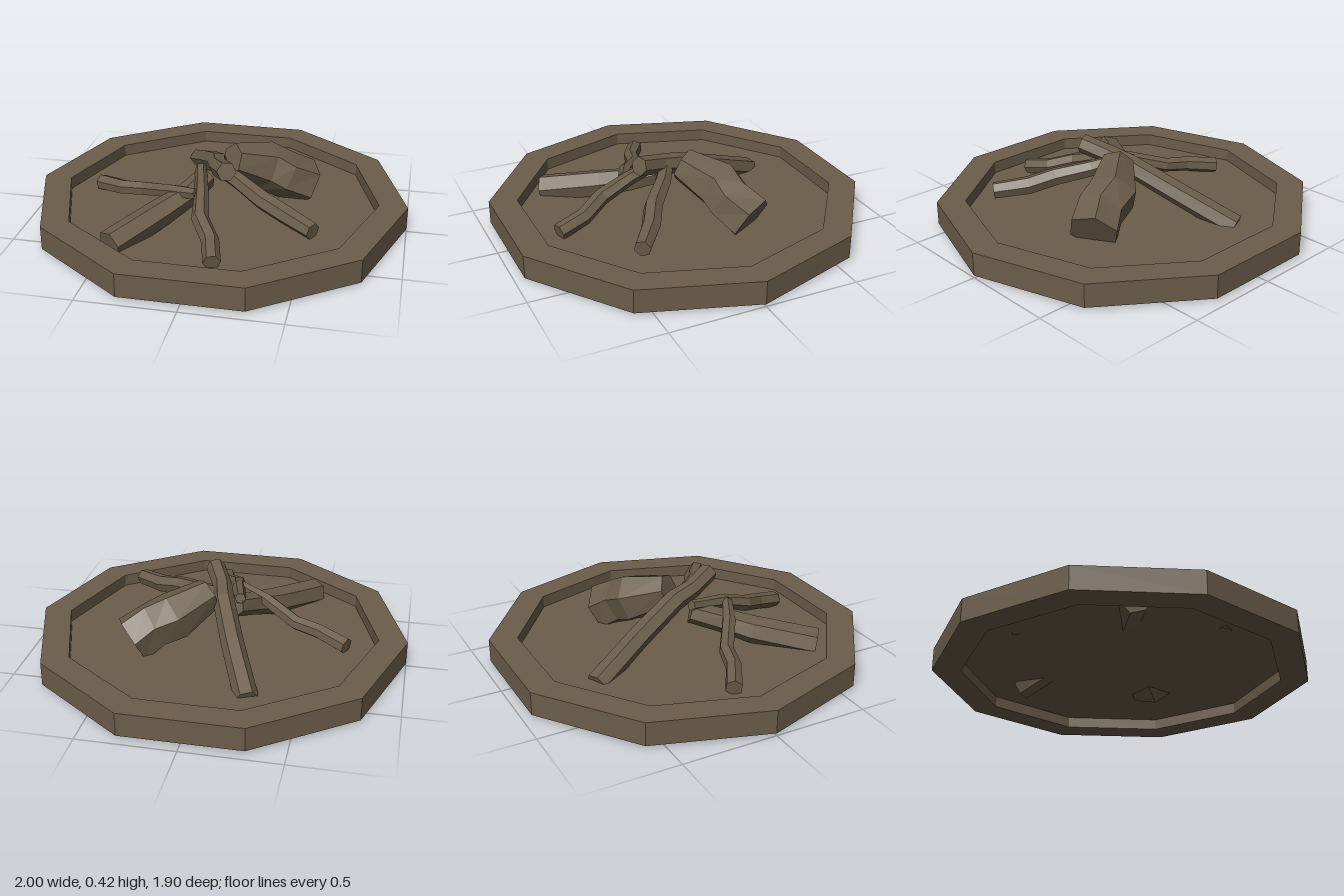
import * as THREE from 'three';

const SIDES = 6;

// Six-sided log swept along [x, y, z, radius] stations, with capped ends
function logGeometry(stations, twist) {
  const pts = stations.map(([x, y, z]) => new THREE.Vector3(x, y, z));
  const last = pts.length - 1;
  const rings = pts.map((p, i) => {
    const t = pts[Math.min(i + 1, last)].clone().sub(pts[Math.max(i - 1, 0)]).normalize();
    const side = new THREE.Vector3().crossVectors(t, new THREE.Vector3(0, 1, 0)).normalize();
    const up = new THREE.Vector3().crossVectors(side, t);
    return Array.from({ length: SIDES }, (_, k) => {
      const a = twist + (k / SIDES) * Math.PI * 2;
      return p.clone()
        .addScaledVector(side, Math.cos(a) * stations[i][3])
        .addScaledVector(up, Math.sin(a) * stations[i][3]);
    });
  });
  const out = [];
  const tri = (a, b, c) => out.push(...a.toArray(), ...b.toArray(), ...c.toArray());
  for (let k = 0; k < SIDES; k++) {
    const n = (k + 1) % SIDES;
    for (let i = 0; i < last; i++) {
      const a = rings[i][k], b = rings[i][n], c = rings[i + 1][n], d = rings[i + 1][k];
      tri(a, c, b);
      tri(a, d, c);
    }
    tri(pts[0], rings[0][k], rings[0][n]);
    tri(pts[last], rings[last][n], rings[last][k]);
  }
  const g = new THREE.BufferGeometry();
  g.setAttribute('position', new THREE.Float32BufferAttribute(out, 3));
  g.computeVertexNormals();
  return g;
}

export function createModel() {
  const group = new THREE.Group();
  const wood = new THREE.MeshStandardMaterial({ color: 0x6b5d4a, flatShading: true, side: THREE.DoubleSide });
  wood.name = 'charred brown';
  const add = (name, geometry) => {
    const mesh = new THREE.Mesh(geometry, wood);
    mesh.name = name;
    group.add(mesh);
  };

  // Ten-sided rim, with a corner on +x
  const rim = [[0.85, 0.015], [1, 0.015], [1, 0.14], [0.85, 0.14], [0.85, 0.015]];
  add('rim', new THREE.LatheGeometry(rim.map(([x, y]) => new THREE.Vector2(x, y)), 10, Math.PI / 2));

  // Thin recessed floor, open beneath
  const floor = new THREE.CircleGeometry(0.85, 10);
  floor.rotateX(-Math.PI / 2).translate(0, 0.075, 0);
  add('floor', floor);

  // Crooked logs leaning together: name, twist, stations from the ground up
  const logs = [
    ['longLog', 0.15, [[-0.25, 0.056, -0.58, 0.062], [-0.12, 0.19, -0.28, 0.06],
      [-0.02, 0.3, -0.02, 0.058], [0.01, 0.33, 0.1, 0.052], [0.08, 0.375, 0.245, 0.052]]],
    ['thickLog', 0.3, [[0.43, 0.13, -0.23, 0.135], [0.32, 0.2, -0.165, 0.13],
      [0.22, 0.25, -0.145, 0.135], [0.06, 0.33, -0.01, 0.09]]],
    ['leftFrontLog', 0.2, [[0.55, 0.18, 0.43, 0.045], [0.4, 0.2, 0.32, 0.05],
      [0.27, 0.235, 0.25, 0.05], [0.12, 0.275, 0.13, 0.045], [0.02, 0.3, 0.07, 0.04]]],
    ['frontLog', 0.1, [[0.1, 0.105, 0.7, 0.045], [0.06, 0.14, 0.55, 0.045],
      [-0.02, 0.19, 0.42, 0.045], [-0.05, 0.25, 0.25, 0.038], [-0.1, 0.29, 0.04, 0.03]]],
    ['rightFrontLog', 0.25, [[-0.44, 0.09, 0.61, 0.078], [-0.25, 0.15, 0.33, 0.075],
      [-0.15, 0.19, 0.2, 0.065], [-0.07, 0.24, 0.05, 0.06]]],
    ['rightLog', 0.4, [[-0.685, 0.11, -0.045, 0.045], [-0.53, 0.135, 0.045, 0.042],
      [-0.4, 0.155, 0.08, 0.04], [-0.22, 0.215, 0.2, 0.038], [-0.07, 0.25, 0.275, 0.03]]],
  ];
  for (const [name, twist, stations] of logs) add(name, logGeometry(stations, twist));

  return group;
}
